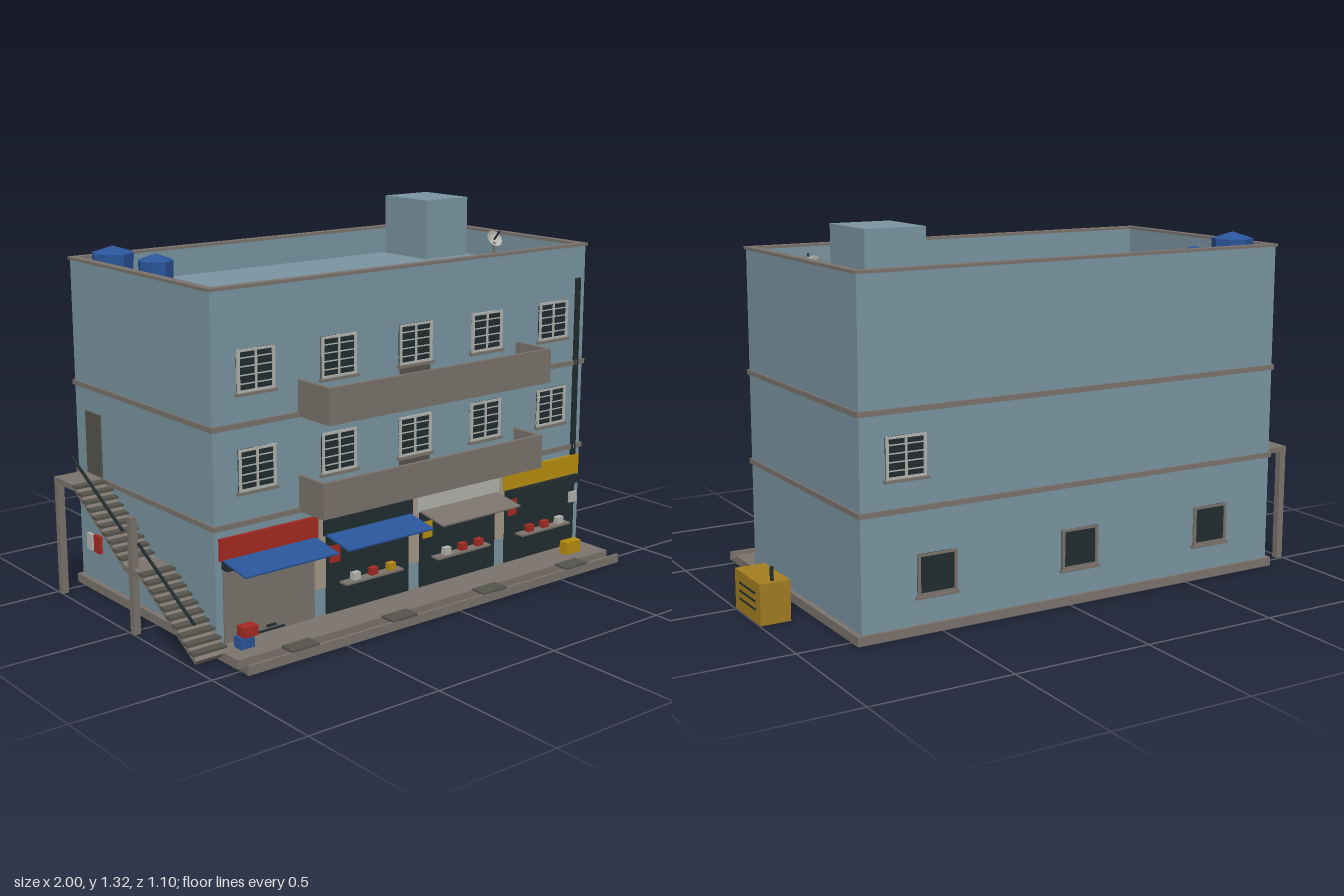
import * as THREE from 'three';

const mat = (name, color) => new THREE.MeshStandardMaterial({ name, color, side: THREE.DoubleSide });
const M = {
  wall: mat('blue wall paint', 0x7b96a3),
  trim: mat('grey concrete', 0x7c746d),
  dark: mat('dark concrete', 0x55544d),
  glass: mat('dark glass and metal', 0x222d30),
  red: mat('red paint', 0xa62a22),
  yellow: mat('yellow paint', 0xb9900f),
  ochre: mat('ochre housing', 0xa57e20),
  blue: mat('blue plastic', 0x2b569c),
  white: mat('off white', 0xb4b4b0),
  cream: mat('cream plaster', 0xa69b8a),
};

export function createModel() {
  const root = new THREE.Group();
  root.name = 'shopBuilding';

  const add = (name, geo, m, parent = root) => {
    const mesh = new THREE.Mesh(geo, m);
    mesh.name = name;
    parent.add(mesh);
    return mesh;
  };
  const group = (name) => {
    const g = new THREE.Group();
    g.name = name;
    root.add(g);
    return g;
  };
  // Box from its bounds
  const box = (name, m, x0, x1, y0, y1, z0, z1, parent) => {
    const b = add(name, new THREE.BoxGeometry(x1 - x0, y1 - y0, z1 - z0), m, parent);
    b.position.set((x0 + x1) / 2, (y0 + y1) / 2, (z0 + z1) / 2);
    return b;
  };
  // Sloping plate running from (y0, z0) to (y1, z1)
  const slope = (name, m, x0, x1, y0, z0, y1, z1, t, parent) => {
    const b = add(name, new THREE.BoxGeometry(x1 - x0, t, Math.hypot(y1 - y0, z1 - z0)), m, parent);
    b.position.set((x0 + x1) / 2, (y0 + y1) / 2, (z0 + z1) / 2);
    b.rotation.x = -Math.atan2(y1 - y0, z1 - z0);
    return b;
  };

  const X0 = -0.875, X1 = 0.79, Z0 = -0.54, Z1 = 0.34, ROOF = 1.09;

  // Pavement, drain channel, kerb and drain covers
  box('pavement', M.trim, -0.893, 0.808, 0, 0.032, -0.55, 0.486);
  box('drainFloor', M.dark, -0.893, 0.808, 0, 0.004, 0.486, 0.535);
  box('kerb', M.trim, -0.893, 0.808, 0, 0.032, 0.535, 0.545);
  for (const x of [-0.667, -0.25, 0.167, 0.583])
    box('drainCover', M.dark, x - 0.055, x + 0.055, 0.03, 0.038, 0.484, 0.545);

  // Main body, parapet, floor bands and coping
  box('body', M.wall, X0, X1, 0.03, ROOF, Z0, Z1);
  const ring = (name, m, y0, y1, out, t) => {
    const a = X0 - out, b = X1 + out, c = Z0 - out, d = Z1 + out;
    box(name, m, a, b, y0, y1, c, c + t);
    box(name, m, a, b, y0, y1, d - t, d);
    box(name, m, a, a + t, y0, y1, c + t, d - t);
    box(name, m, b - t, b, y0, y1, c + t, d - t);
  };
  ring('parapet', M.wall, ROOF, 1.19, 0, 0.02);
  ring('coping', M.trim, 1.188, 1.198, 0.006, 0.03);
  ring('floorBand', M.trim, 0.415, 0.433, 0.007, 0.02);
  ring('floorBand', M.trim, 0.741, 0.759, 0.007, 0.02);

  // Windows, turned to face front or back
  const addWindow = (x, y, frame, back) => {
    const g = group('window');
    g.position.set(x, y, back ? Z0 : Z1);
    if (back) g.rotation.y = Math.PI;
    const w = 0.073, h = 0.07;
    box('pane', M.glass, -w, w, -h, h, 0, 0.004, g);
    for (const s of [-1, 1]) {
      box('frameSide', frame, s * 0.068 - 0.005, s * 0.068 + 0.005, -h, h, 0, 0.009, g);
      box('frameRail', frame, -w, w, s * 0.066 - 0.004, s * 0.066 + 0.004, 0, 0.009, g);
    }
    if (frame === M.white) {
      box('mullion', frame, -0.004, 0.004, -h, h, 0, 0.008, g);
      for (let i = -1.5; i < 2; i++) box('bar', frame, -w, w, i * 0.028 - 0.002, i * 0.028 + 0.002, 0, 0.007, g);
    }
    box('sill', M.trim, -0.08, 0.08, -h - 0.01, -h, 0, 0.014, g);
  };
  for (const y of [0.6, 0.925])
    for (let i = 0; i < 5; i++) addWindow(-0.708 + i * 0.3335, y, M.white, false);
  for (const x of [-0.605, -0.041, 0.516]) addWindow(x, 0.2, M.trim, true);
  addWindow(0.627, 0.6, M.white, true);

  // Balconies with solid sides and the doors behind them
  for (const [y, z] of [[0.42, 0.473], [0.743, 0.505]]) {
    const g = group('balcony');
    const a = -0.54, b = 0.455, h = y + 0.123;
    box('balconyFloor', M.trim, a, b, y, y + 0.02, Z1, z, g);
    box('balconyFront', M.trim, a, b, y, h, z - 0.014, z, g);
    box('balconySide', M.trim, a, a + 0.014, y, h, Z1, z, g);
    box('balconySide', M.trim, b - 0.014, b, y, h, Z1, z, g);
    box('balconyDoor', M.dark, -0.11, 0.025, y + 0.02, y + 0.112, Z1, Z1 + 0.006, g);
  }

  // Shops: sign, roller box, opening, awning, shelf and goods
  const shops = [
    { x: -0.665, sign: M.red, awning: M.blue },
    { x: -0.25, sign: M.glass, awning: M.blue, poster: M.red, goods: [M.white, M.red, M.yellow] },
    { x: 0.166, sign: M.white, awning: M.trim, poster: M.yellow, goods: [M.white, M.red, M.red] },
    { x: 0.582, sign: M.yellow, poster: M.red, goods: [M.red, M.red, M.white] },
  ];
  for (const s of shops) {
    const g = group('shop'), x = s.x;
    box('sign', s.sign, x - 0.196, x + 0.196, 0.315, 0.39, Z1, 0.352, g);
    box('rollerBox', M.glass, x - 0.185, x + 0.185, 0.285, 0.315, Z1, 0.372, g);
    box('opening', s.goods ? M.glass : M.trim, x - 0.182, x + 0.182, 0.032, 0.29, Z1, 0.346, g);
    if (s.awning) slope('awning', s.awning, x - 0.186, x + 0.186, 0.318, Z1, 0.294, 0.475, 0.006, g);
    if (!s.goods) {
      box('shutterRail', M.glass, x - 0.053, x + 0.053, 0.036, 0.042, 0.346, 0.352, g);
      box('shutterHandle', M.glass, x - 0.018, x + 0.018, 0.05, 0.057, 0.346, 0.354, g);
      continue;
    }
    box('poster', s.poster, x - 0.17, x - 0.127, 0.213, 0.28, 0.346, 0.351, g);
    box('shelf', M.trim, x - 0.127, x + 0.127, 0.132, 0.139, 0.346, 0.385, g);
    s.goods.forEach((m, i) => {
      const cx = x + 0.007 + (i - 1) * 0.078;
      box('goods', m, cx - 0.015, cx + 0.015, 0.139, 0.165, 0.353, 0.375, g);
    });
  }
  for (const x of [-0.457, -0.042, 0.374]) box('pier', M.cream, x - 0.022, x + 0.022, 0.13, 0.415, Z1, 0.346);

  // Crates on the pavement
  box('blueCrate', M.blue, -0.838, -0.785, 0.032, 0.07, 0.385, 0.425);
  box('redCrate', M.red, -0.828, -0.772, 0.07, 0.105, 0.388, 0.428);
  for (const x of [0.656, 0.682, 0.708]) box('yellowCrate', M.yellow, x - 0.011, x + 0.011, 0.032, 0.08, 0.395, 0.432);

  // Downpipes and meter boxes
  for (const x of [0.745, 0.76]) box('pipe', M.glass, x - 0.004, x + 0.004, 0.24, 1.07, Z1, 0.348);
  box('meterBox', M.white, 0.733, 0.77, 0.204, 0.245, Z1, 0.356);
  box('sideMeterBox', M.white, -0.888, X0, 0.145, 0.205, -0.48, -0.445);
  box('sideRedBox', M.red, -0.888, X0, 0.145, 0.21, -0.43, -0.39);
  box('sideDoor', M.dark, -0.882, X0, 0.435, 0.66, -0.465, -0.365);

  // Outside stair: two flights, two landings, posts and handrails
  const stair = group('stair');
  box('topLanding', M.trim, -1, X0, 0.412, 0.432, -0.495, -0.36, stair);
  box('midLanding', M.trim, -1, X0, 0.212, 0.232, -0.03, 0.07, stair);
  for (const z of [-0.48, 0.02]) box('post', M.trim, -1, -0.975, 0, 0.41, z - 0.0125, z + 0.0125, stair);
  for (const [y0, z0] of [[0.032, 0.4], [0.232, -0.03]]) {
    slope('flightSlab', M.trim, -0.995, X0, y0 - 0.01, z0, y0 + 0.19, z0 - 0.33, 0.016, stair);
    for (let i = 0; i < 10; i++) {
      const y = y0 + (i + 1) * 0.02, z = z0 - i * 0.033;
      box('tread', M.dark, -1, X0, y - 0.009, y, z - 0.033, z, stair);
    }
    slope('handrail', M.glass, -1, -0.992, y0 + 0.12, z0, y0 + 0.3, z0 - 0.33, 0.008, stair);
  }

  // Roof: stair head, water tanks and dish
  box('roofRoom', M.wall, 0.53, 0.745, ROOF, 1.32, -0.51, -0.262);
  for (const [x, r, top] of [[-0.767, 0.075, 1.215], [-0.595, 0.065, 1.172]]) {
    const profile = [[0, ROOF], [r * 0.94, ROOF], [r, top], [0, top + 0.024]].map((p) => new THREE.Vector2(...p));
    const geo = new THREE.LatheGeometry(profile, 8).toNonIndexed();
    geo.computeVertexNormals();
    add('waterTank', geo, M.blue).position.set(x, 0, -0.43);
  }
  const dish = group('dish');
  dish.position.set(0.733, 1.16, -0.09);
  box('dishPole', M.trim, -0.004, 0.004, -0.07, 0, -0.004, 0.004, dish);
  const bowl = add('dishBowl', new THREE.SphereGeometry(0.05, 12, 4, 0, Math.PI * 2, 0, 0.8), M.white, dish);
  bowl.rotation.x = -2.2;
  bowl.position.set(0, 0.035, 0.03);
  slope('dishArm', M.glass, -0.003, 0.003, 0.01, 0, 0.045, 0.03, 0.005, dish);

  // Generator with louvres and exhaust
  const gen = group('generator');
  box('housing', M.ochre, 0.888, 0.997, 0, 0.143, -0.207, 0.01, gen);
  for (const y of [0.047, 0.075, 0.103]) box('louvre', M.glass, 0.997, 1, y - 0.003, y + 0.003, -0.168, -0.03, gen);
  const pipe = add('exhaust', new THREE.CylinderGeometry(0.007, 0.007, 0.05, 8), M.glass, gen);
  pipe.position.set(0.943, 0.165, -0.182);

  return root;
}
